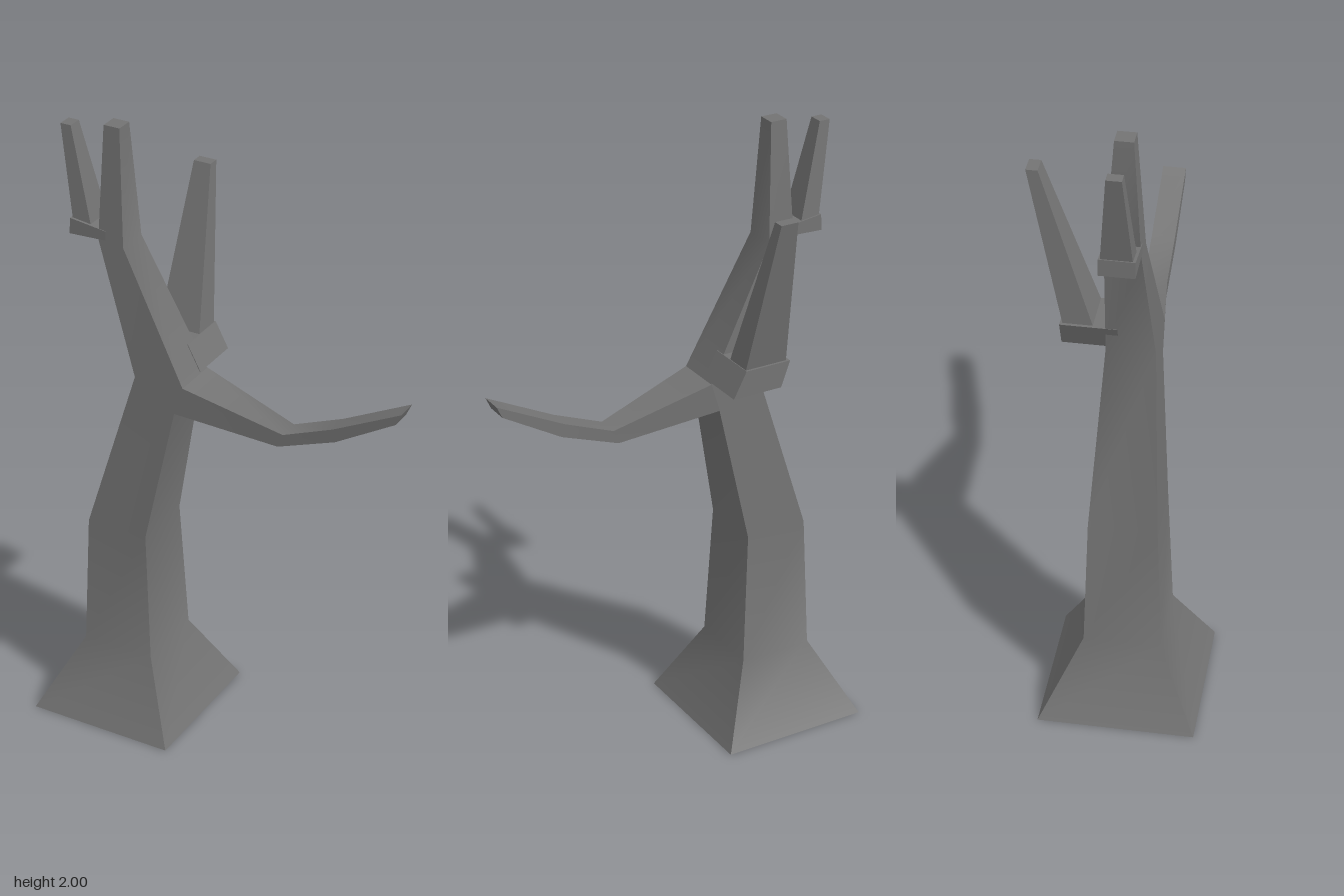
import * as THREE from 'three';
import { mergeGeometries, toCreasedNormals } from 'three/addons/utils/BufferGeometryUtils.js';

// Dark bark
const material = new THREE.MeshStandardMaterial({ color: 0x737373, side: THREE.DoubleSide });

// Triangles from four-cornered faces, leaving out collapsed ones
function facesGeometry(quads, crease) {
  const pos = [];
  for (const [a, b, c, d] of quads) {
    for (const t of [[a, b, c], [a, c, d]]) {
      if (t[0].equals(t[1]) || t[1].equals(t[2]) || t[0].equals(t[2])) continue;
      for (const p of t) pos.push(p.x, p.y, p.z);
    }
  }
  const geometry = new THREE.BufferGeometry();
  geometry.setAttribute('position', new THREE.Float32BufferAttribute(pos, 3));
  return toCreasedNormals(geometry, crease);
}

// A four-sided limb through sections [ax, ay, bx, by, zBack, zFront];
// a and b are the left and right sides when looking along the limb from the front.
// The start stays open, the end is capped with a sharp edge.
function limb(name, sections) {
  const rings = sections.map(([ax, ay, bx, by, z0, z1]) => [
    new THREE.Vector3(ax, ay, z1), new THREE.Vector3(bx, by, z1),
    new THREE.Vector3(bx, by, z0), new THREE.Vector3(ax, ay, z0),
  ]);
  const sides = [];
  for (let k = 0; k < rings.length - 1; k++) {
    const r = rings[k], s = rings[k + 1];
    for (let i = 0; i < 4; i++) {
      const j = (i + 1) % 4;
      sides.push([r[i], r[j], s[j], s[i]]);
    }
  }
  const cap = [rings[rings.length - 1]];
  const mesh = new THREE.Mesh(
    mergeGeometries([facesGeometry(sides, 0.7), facesGeometry(cap, 0.1)]), material);
  mesh.name = name;
  return mesh;
}

export function createModel() {
  const tree = new THREE.Group();
  tree.name = 'bareTree';

  // Trunk with flared, open foot, bending at the fork
  tree.add(limb('trunk', [
    [-0.585, 0, -0.10, 0, -0.215, 0.27],
    [-0.46, 0.245, -0.22, 0.245, -0.09, 0.15],
    [-0.445, 0.68, -0.24, 0.68, -0.075, 0.135],
    [-0.285, 1.22, -0.15, 1.13, -0.045, 0.103],
    [-0.285, 1.22, -0.12, 1.225, -0.045, 0.103],
    [-0.415, 1.64, -0.33, 1.63, -0.025, 0.08],
    [-0.40, 2, -0.347, 2, 0.003, 0.058],
  ]));

  // Long side branch
  tree.add(limb('sideBranch', [
    [-0.12, 1.225, -0.15, 1.13, -0.047, 0.103],
    [0.197, 1.135, 0.18, 1.09, -0.01, 0.062],
    [0.36, 1.20, 0.37, 1.16, -0.01, 0.062],
    [0.58, 1.31, 0.563, 1.273, -0.01, 0.062],
  ]));

  // Upper stub and its twig
  tree.add(limb('upperStub', [
    [-0.39, 1.64, -0.39, 1.67, -0.025, 0.08],
    [-0.515, 1.635, -0.512, 1.686, -0.025, 0.08],
  ]));
  tree.add(limb('upperTwig', [
    [-0.507, 1.683, -0.445, 1.675, -0.02, 0.072],
    [-0.553, 1.97, -0.518, 1.97, 0.005, 0.05],
  ]));

  // Rear stub and its twig
  const outline = new THREE.Shape([
    new THREE.Vector2(-0.285, 1.23), new THREE.Vector2(-0.12, 1.23),
    new THREE.Vector2(-0.163, 1.312), new THREE.Vector2(-0.315, 1.312),
  ]);
  const stub = new THREE.Mesh(
    new THREE.ExtrudeGeometry(outline, { depth: 0.17, bevelEnabled: false }), material);
  stub.name = 'rearStub';
  stub.position.z = -0.175;
  tree.add(stub);
  tree.add(limb('rearTwig', [
    [-0.305, 1.31, -0.165, 1.31, -0.167, -0.078],
    [-0.27, 1.8, -0.213, 1.8, -0.271, -0.236],
  ]));

  return tree;
}
